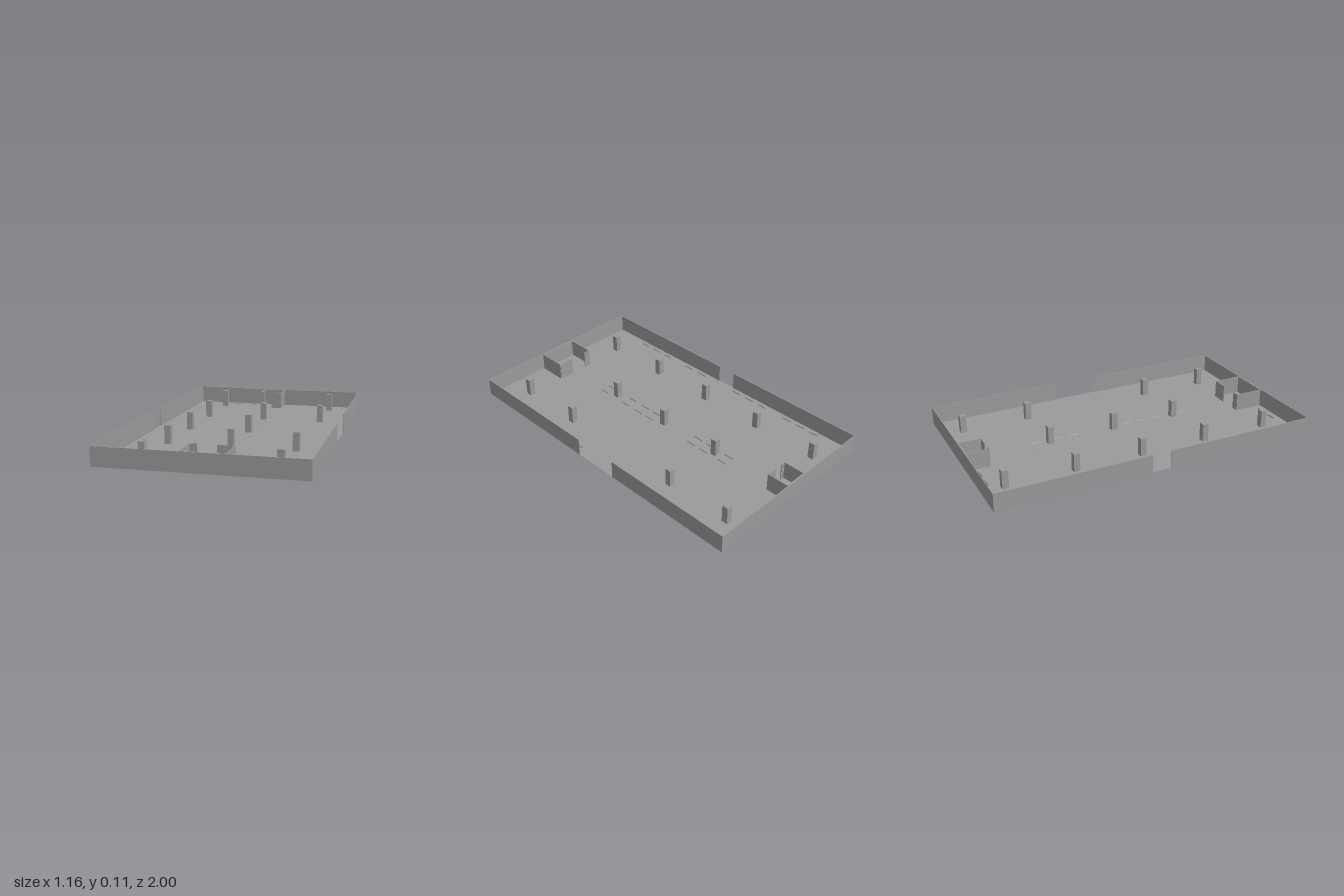
import * as THREE from 'three';

const W = 0.582, L = 1, H = 0.11; // half width, half length, wall height
const T = 0.005; // wall thickness

export function createModel() {
  const model = new THREE.Group();
  const mat = new THREE.MeshStandardMaterial({ color: 0x9a9a9a, side: THREE.DoubleSide, flatShading: true });

  const add = (name, geometry, x, y, z) => {
    const mesh = new THREE.Mesh(geometry, mat);
    mesh.name = name;
    mesh.position.set(x, y, z);
    model.add(mesh);
    return mesh;
  };
  // Thin upright wall between two points on the floor
  const wall = (name, x1, z1, x2, z2) => {
    const geometry = new THREE.BoxGeometry(Math.hypot(x2 - x1, z2 - z1), H, T);
    const mesh = add(name, geometry, (x1 + x2) / 2, H / 2, (z1 + z2) / 2);
    mesh.rotation.y = -Math.atan2(z2 - z1, x2 - x1);
  };

  // Floor
  add('floor', new THREE.PlaneGeometry(2 * W, 2 * L).rotateX(-Math.PI / 2), 0, 0, 0);

  // Outer walls, with a gateway in each long side
  const wx = W - T / 2, wz = L - T / 2;
  wall('frontWall', -W, wz, W, wz);
  wall('backWall', -W, -wz, W, -wz);
  wall('leftWallFront', wx, L, wx, 0.115);
  wall('leftWallBack', wx, -0.17, wx, -L);
  wall('rightWallBack', -wx, -L, -wx, -0.07);
  wall('rightWallFront', -wx, 0.05, -wx, L);

  // Stair rooms: outer wall, side walls and an inner wall with a doorway
  const room = (name, x1, x2, door1, door2, zOuter, zInner) => {
    wall(name + 'OuterWall', x1, zOuter, x2, zOuter);
    for (const x of [x1, x2]) wall(name + 'SideWall', x, zOuter, x, zInner);
    wall(name + 'DoorWall', x1, zInner, door1, zInner);
    wall(name + 'DoorWall', door2, zInner, x2, zInner);
  };
  room('backRoom', -0.102, 0.043, -0.075, -0.025, -0.992, -0.858);
  room('frontRoom', -0.102, 0.147, -0.06, 0.05, 0.99, 0.812);

  // Square pillars on a regular grid
  const rows = [-0.865, -0.443, -0.022, 0.398, 0.82];
  const pillars = [[-0.364, [0, 1, 2, 3, 4]], [0.014, [1, 2, 3]], [0.392, [0, 1, 3, 4]]];
  const pillarShape = new THREE.BoxGeometry(0.037, H, 0.037);
  for (const [x, used] of pillars)
    for (const i of used) add('pillar', pillarShape, x, H / 2, rows[i]);

  // Low wheel stops along the bays, narrowing to a ridge
  const stop = (width, x, z, turn) => {
    const profile = new THREE.Shape();
    profile.moveTo(-width / 2, 0).lineTo(width / 2, 0).lineTo(0, 0.007);
    const geometry = new THREE.ExtrudeGeometry(profile, { depth: 0.062, bevelEnabled: false });
    geometry.translate(0, 0, -0.031);
    add('wheelStop', geometry, x, 0, z).rotation.y = turn;
  };
  const centreRow = [-0.525, -0.38, -0.28, 0.08, 0.175, 0.295, 0.49];
  const stopRows = [
    [-0.545, 0.005, [-0.74, -0.64, -0.54, -0.34, -0.235, -0.125, 0.18, 0.3, 0.5, 0.61, 0.715]],
    [0.53, 0.005, [-0.79, -0.665, -0.545, 0.18, 0.3, 0.485, 0.6, 0.725]],
    [0.045, 0.007, centreRow],
    [-0.018, 0.005, centreRow],
  ];
  for (const [x, width, places] of stopRows)
    for (const z of places) stop(width, x, z, 0);
  for (const z of [-0.94, 0.95])
    for (const x of [-0.285, -0.18]) stop(0.005, x, z, Math.PI / 2);

  return model;
}
